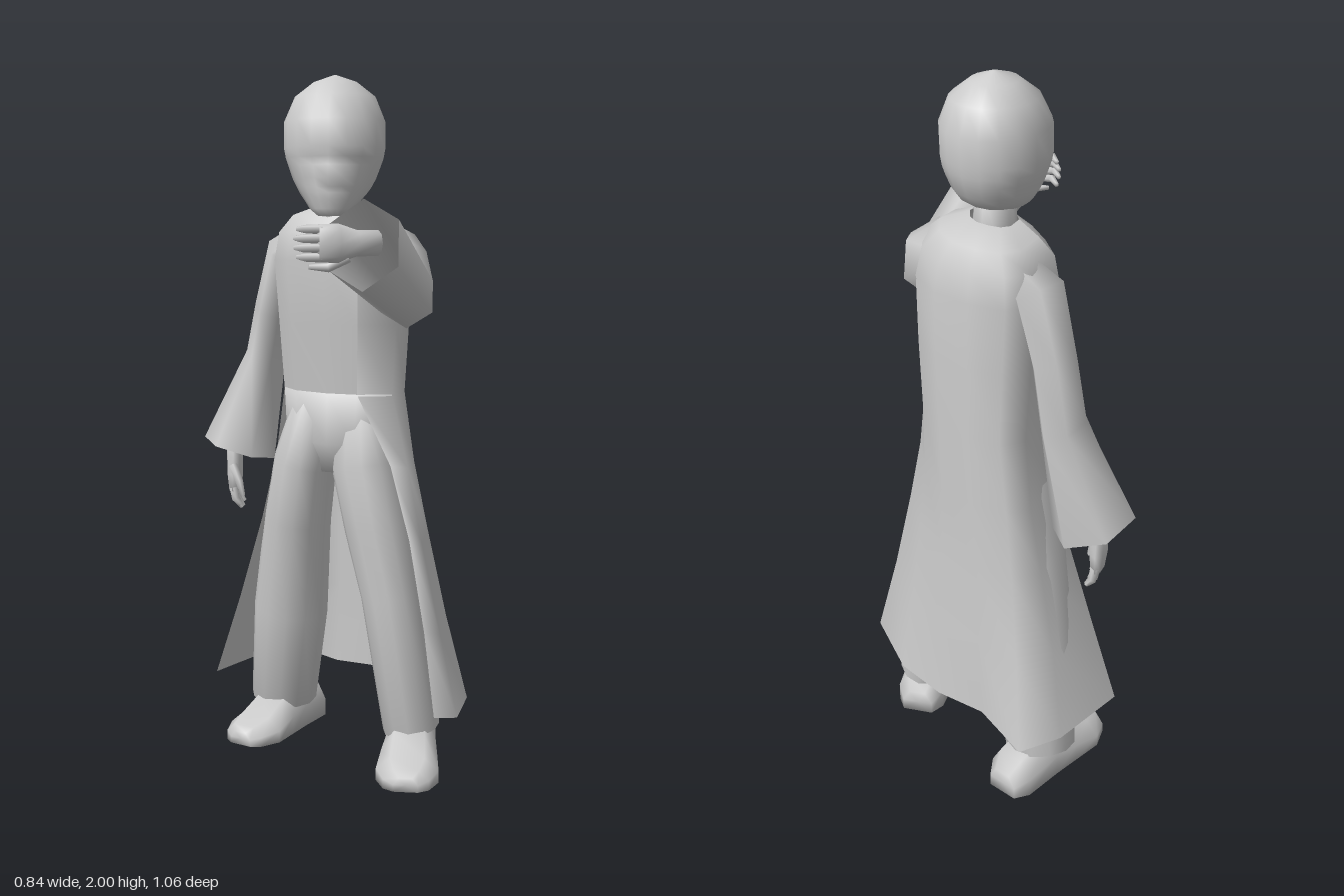
import * as THREE from 'three';

const V = (x, y, z) => new THREE.Vector3(x, y, z);
const material = new THREE.MeshStandardMaterial({ color: 0xcccccc, side: THREE.DoubleSide });

// Skin a list of equally sized rings; optional wrap-around and end caps
function loft(name, rings, closed = true, cap = true) {
  const n = rings[0].length, pos = [], idx = [];
  rings.forEach(r => r.forEach(p => pos.push(p.x, p.y, p.z)));
  for (let j = 0; j < rings.length - 1; j++) {
    for (let i = 0; i < (closed ? n : n - 1); i++) {
      const k = (i + 1) % n, a = j * n + i, b = j * n + k;
      idx.push(a, b, a + n, b, b + n, a + n);
    }
  }
  if (closed && cap) {
    [0, rings.length - 1].forEach((j, end) => {
      const c = rings[j].reduce((s, p) => s.add(p), V(0, 0, 0)).divideScalar(n);
      const ci = pos.length / 3;
      pos.push(c.x, c.y, c.z);
      for (let i = 0; i < n; i++) {
        const a = j * n + i, b = j * n + (i + 1) % n;
        if (end) idx.push(a, b, ci); else idx.push(b, a, ci);
      }
    });
  }
  const g = new THREE.BufferGeometry();
  g.setAttribute('position', new THREE.Float32BufferAttribute(pos, 3));
  g.setIndex(idx);
  g.computeVertexNormals();
  const mesh = new THREE.Mesh(g, material);
  mesh.name = name;
  return mesh;
}

// Elliptical rings along a path; each section is [x, y, z, radiusA, radiusB, optional ring normal]
function limb(name, secs, n = 8, ref = V(0, 0, 1), cap = true) {
  const pts = secs.map(s => V(s[0], s[1], s[2]));
  const rings = secs.map((s, j) => {
    const t = s[5] || pts[Math.min(j + 1, pts.length - 1)].clone().sub(pts[Math.max(j - 1, 0)]).normalize();
    const u = ref.clone().cross(t).normalize(), v = t.clone().cross(u);
    return Array.from({ length: n }, (_, i) => {
      const a = i / n * Math.PI * 2;
      return pts[j].clone().addScaledVector(u, s[3] * Math.cos(a)).addScaledVector(v, s[4] * Math.sin(a));
    });
  });
  return loft(name, rings, true, cap);
}

// Hand hanging along -y, fingers curling toward +x
function hand(name, curl) {
  const g = new THREE.Group();
  g.name = name;
  g.add(limb('palm', [[0, 0.05, 0, 0.024, 0.028], [0, 0, 0, 0.022, 0.028],
    [0, -0.045, 0, 0.022, 0.042], [0, -0.09, 0, 0.016, 0.04]]));
  for (let i = 0; i < 4; i++) {
    const z = -0.03 + i * 0.02, l = 0.075 - 0.012 * Math.abs(i - 1.5);
    g.add(limb('finger', [[0, -0.08, z, 0.012, 0.011],
      [curl * 0.02, -0.08 - l * 0.55, z, 0.011, 0.01],
      [curl * 0.07, -0.08 - l * (1 - curl * 0.5), z, 0.006, 0.006]], 5));
  }
  g.add(limb('thumb', [[0, -0.02, 0.03, 0.012, 0.012], [0.02, -0.06, 0.052, 0.011, 0.011],
    [0.03, -0.1, 0.05, 0.006, 0.006]], 5));
  g.scale.setScalar(1.15);
  return g;
}

// Shoe with flat sole; sections are [z, halfWidth, height]
function foot(name, x, z, yaw) {
  const secs = [[-0.2, 0.045, 0.07], [-0.16, 0.07, 0.11], [-0.04, 0.075, 0.13], [0.04, 0.082, 0.11],
    [0.13, 0.09, 0.07], [0.19, 0.065, 0.055], [0.21, 0.035, 0.04]];
  const profile = [[1, 0], [1, 0.5], [0.55, 1], [-0.55, 1], [-1, 0.5], [-1, 0]];
  const m = loft(name, secs.map(([d, w, h]) => profile.map(([a, b]) => V(a * w, b * h, d))));
  m.position.set(x, 0.005, z);
  m.rotation.y = yaw;
  return m;
}

function head() {
  // [y, halfWidth, zFront, zBack]
  const secs = [[1.605, 0.035, 0.03, -0.03], [1.625, 0.06, 0.042, -0.07], [1.65, 0.08, 0.046, -0.16],
    [1.668, 0.094, 0.052, -0.2], [1.685, 0.105, 0.049, -0.23], [1.71, 0.118, 0.052, -0.25],
    [1.745, 0.131, 0.053, -0.264], [1.768, 0.139, 0.054, -0.269], [1.795, 0.144, 0.06, -0.273],
    [1.87, 0.144, 0.052, -0.278], [1.94, 0.115, 0.003, -0.247], [1.98, 0.063, -0.05, -0.195],
    [2.0, 0.006, -0.115, -0.127]];
  const n = 18;
  return loft('head', secs.map(([y, w, f, b]) => Array.from({ length: n }, (_, i) => {
    const a = i / n * Math.PI * 2, off = Math.min(i, n - i);
    let z = (f + b) / 2 + (f - b) / 2 * Math.cos(a);
    if (off === 0) z += y === 1.71 ? 0.021 : y === 1.745 ? 0.011 : 0;      // nose
    if (off === 1 && y > 1.74 && y < 1.78) z -= 0.012;                      // eye sockets
    return V(0.018 + w * Math.sin(a), y, z);
  })));
}

export function createModel() {
  const model = new THREE.Group();
  model.name = 'robedFigure';

  // Coat: outline in plan from its left front edge, round the back, to its right front edge
  const ring = (y, pts) => pts.map(([x, z]) => V(x, y, z));
  const waist = [[0.09, -0.035], [0.19, -0.05], [0.22, -0.14], [0.19, -0.25], [0.12, -0.335],
    [0.03, -0.375], [-0.06, -0.39], [-0.12, -0.35], [-0.145, -0.22]];
  const chest = [[-0.145, -0.22], [-0.1, -0.13], [0, -0.06], [0.09, -0.035]];
  // Upper levels: [y, scale, centreX, centreZ]
  const levels = [[1.1, 1, 0.04, -0.215], [1.3, 1.07, 0.04, -0.2], [1.48, 1.12, 0.038, -0.185],
    [1.56, 1.02, 0.033, -0.19], [1.61, 0.76, 0.025, -0.2], [1.63, 0.38, 0.018, -0.15]];
  const upper = pts => levels.map(([y, s, cx, cz]) =>
    ring(y, pts.map(([x, z]) => [cx + (x - 0.04) * s, cz + (z + 0.215) * s])));
  const skirt = [
    ring(0.2, [[0.325, 0.11], [0.39, 0.1], [0.415, -0.08], [0.28, -0.26], [0.14, -0.35],
      [-0.005, -0.4], [-0.15, -0.535], [-0.25, -0.45], [-0.365, -0.24]]),
    ring(0.45, [[0.295, 0.115], [0.34, 0.125], [0.35, -0.08], [0.245, -0.25], [0.13, -0.343],
      [0.005, -0.39], [-0.125, -0.465], [-0.215, -0.4], [-0.285, -0.22]]),
    ring(0.7, [[0.25, 0.08], [0.285, 0.095], [0.295, -0.08], [0.215, -0.24], [0.12, -0.335],
      [0.01, -0.383], [-0.1, -0.42], [-0.17, -0.37], [-0.215, -0.22]]),
    ring(0.9, [[0.19, 0], [0.24, 0.02], [0.252, -0.1], [0.195, -0.24], [0.12, -0.333],
      [0.02, -0.38], [-0.08, -0.4], [-0.14, -0.37], [-0.17, -0.22]]),
  ];
  model.add(loft('coat', [...skirt, ...upper(waist)], false));
  model.add(loft('coatChest', upper(chest), false));

  // Hips under the coat
  const hipRing = (y, s, cx) => ring(y, [...waist, ...chest.slice(1, 3)]
    .map(([x, z]) => [cx + (x - 0.04) * s, -0.212 + (z + 0.215) * s]));
  model.add(loft('hips', [hipRing(0.86, 0.6, 0.015), hipRing(0.95, 0.93, 0.035), hipRing(1.1, 0.995, 0.04)]));

  // Trouser legs and shoes
  model.add(limb('leftLeg', [[0.1, 1.06, -0.16, 0.085, 0.11], [0.108, 0.88, -0.14, 0.102, 0.13],
    [0.145, 0.7, -0.115, 0.098, 0.115], [0.188, 0.5, -0.1, 0.09, 0.108],
    [0.25, 0.1, -0.1, 0.085, 0.115]], 12));
  model.add(limb('rightLeg', [[-0.03, 1.06, -0.22, 0.085, 0.125], [-0.082, 0.88, -0.225, 0.095, 0.135],
    [-0.11, 0.7, -0.255, 0.102, 0.12], [-0.14, 0.4, -0.31, 0.115, 0.11],
    [-0.17, 0.1, -0.36, 0.103, 0.1]], 12));
  model.add(foot('leftFoot', 0.25, -0.03, 0));
  model.add(foot('rightFoot', -0.18, -0.32, -0.46));

  // Flared sleeves: one raised forward, one hanging
  model.add(limb('leftSleeve', [[0.1, 1.515, -0.22, 0.07, 0.05], [0.175, 1.495, -0.16, 0.1, 0.09],
    [0.212, 1.455, -0.02, 0.1, 0.086], [0.243, 1.39, 0.18, 0.084, 0.08],
    [0.15, 1.53, 0.465, 0.115, 0.115, V(-0.42, 0.12, 0.9).normalize()]], 6, V(1, 0, 0), false));
  model.add(limb('rightSleeve', [[-0.06, 1.57, -0.26, 0.04, 0.06], [-0.14, 1.5, -0.285, 0.068, 0.095],
    [-0.193, 1.33, -0.34, 0.06, 0.095], [-0.225, 1.18, -0.375, 0.062, 0.1],
    [-0.31, 0.89, -0.37, 0.115, 0.128]], 6, V(0, 0, 1), false));

  // Hands
  const rightHand = hand('rightHand', 0.3);
  rightHand.position.set(-0.325, 0.86, -0.37);
  const leftHand = hand('leftHand', 1);
  leftHand.quaternion.setFromRotationMatrix(new THREE.Matrix4().makeBasis(
    V(-0.5, 0, -0.866), V(0.866, 0, -0.5), V(0, -1, 0)));
  leftHand.position.set(0.135, 1.535, 0.46);
  model.add(rightHand, leftHand);

  // Neck and head
  model.add(limb('neck', [[0.018, 1.7, -0.11, 0.055, 0.06], [0.018, 1.58, -0.14, 0.06, 0.065]], 10));
  model.add(head());
  return model;
}
